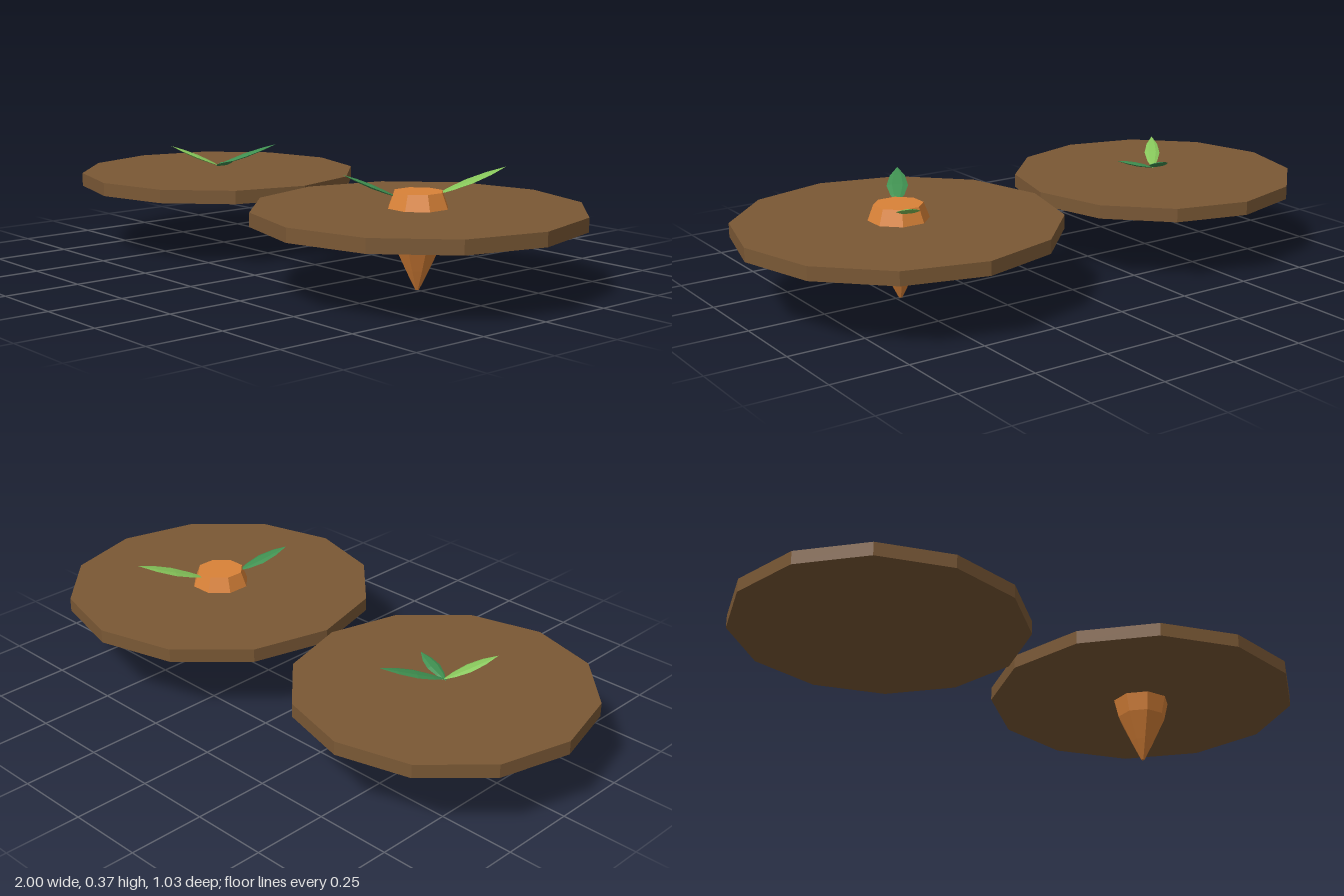
import * as THREE from 'three';

const mat = (name, color) => {
  const m = new THREE.MeshStandardMaterial({ color, flatShading: true });
  m.name = name;
  return m;
};

export function createModel() {
  const soil = mat('soil brown', 0x7a5835);
  const orange = mat('carrot orange', 0xd98238);
  const light = mat('light leaf green', 0x86c55a);
  const dark = mat('dark leaf green', 0x3f8f50);

  const model = new THREE.Group();
  model.name = 'carrotPatch';

  const add = (name, geometry, material, x = 0, y = 0, z = 0) => {
    const mesh = new THREE.Mesh(geometry, material);
    mesh.name = name;
    mesh.position.set(x, y, z);
    model.add(mesh);
    return mesh;
  };
  const lathe = (profile, sides, start = 0) => new THREE.LatheGeometry(
    profile.map(([r, y]) => new THREE.Vector2(r, y)), sides, start);

  // Flat twelve-sided soil mounds
  const mound = (name, x, r) =>
    add(name, new THREE.CylinderGeometry(r, r, 0.044, 12), soil, x, 0.234, 0);
  mound('sproutSoil', -0.526, 0.474);
  mound('carrotSoil', 0.485, 0.515);

  // Eight-sided carrot root with a flat top
  add('carrotRoot', lathe([
    [0, 0], [0.006, 0.001], [0.038, 0.065], [0.08, 0.153],
    [0.095, 0.215], [0.097, 0.255], [0.078, 0.305], [0, 0.305],
  ], 8, Math.PI / 8), orange, 0.483, 0, 0);

  // Pointed, flattened leaf spanning base to tip
  const leafShape = lathe([[0, 0], [0.32, 0.22], [0.5, 0.48], [0.36, 0.75], [0, 1]], 6, Math.PI / 6);
  const leaf = (name, material, base, tip, width, thickness = 0.012) => {
    const from = new THREE.Vector3(...base);
    const along = new THREE.Vector3(...tip).sub(from);
    const dir = along.clone().normalize();
    const side = new THREE.Vector3().crossVectors(dir, new THREE.Vector3(0, 1, 0)).normalize();
    const normal = new THREE.Vector3().crossVectors(side, dir);
    const geometry = leafShape.clone()
      .scale(width, along.length(), thickness)
      .applyMatrix4(new THREE.Matrix4().makeBasis(side, dir, normal));
    add(name, geometry, material, ...base);
  };

  // Carrot greens
  leaf('carrotLeafBack', light, [0.495, 0.287, -0.055], [0.592, 0.367, -0.267], 0.072);
  leaf('carrotLeafFront', dark, [0.455, 0.288, 0.055], [0.367, 0.361, 0.202], 0.068);

  // Young sprout
  leaf('sproutLeafBack', dark, [-0.532, 0.268, 0.01], [-0.428, 0.341, -0.182], 0.058);
  leaf('sproutLeafFront', light, [-0.522, 0.268, -0.005], [-0.628, 0.34, 0.13], 0.052);
  leaf('sproutLeafSide', dark, [-0.535, 0.268, 0], [-0.4, 0.303, 0.036], 0.046);

  return model;
}
